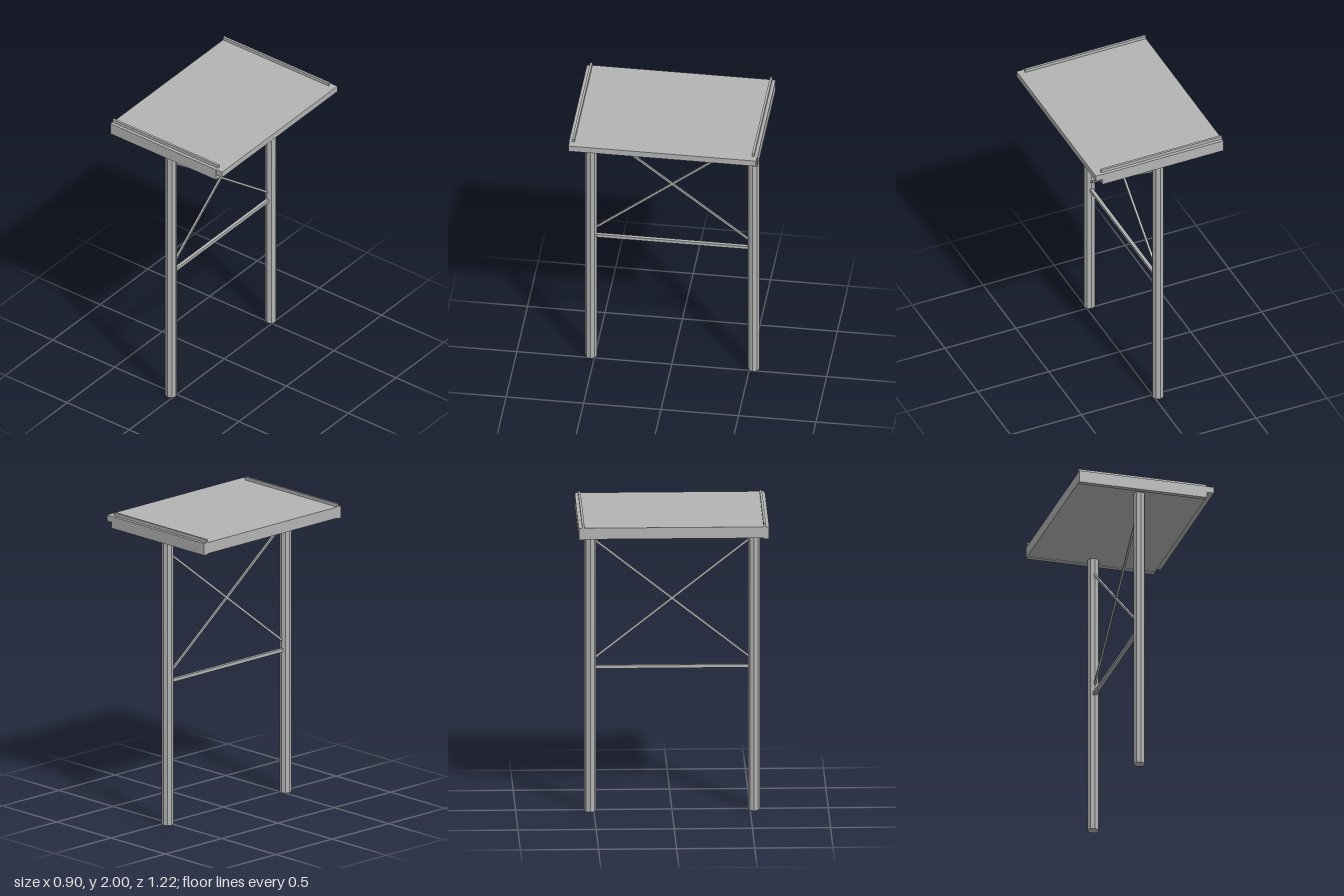
import * as THREE from 'three';

export function createModel() {
  const model = new THREE.Group();
  const steel = new THREE.MeshStandardMaterial({ color: 0xb4b4b4 });
  steel.name = 'greySteel';

  const add = (name, geometry) => {
    const mesh = new THREE.Mesh(geometry, steel);
    mesh.name = name;
    model.add(mesh);
    return mesh;
  };
  // Box given by its lower and upper limits on each axis
  const block = (name, [x0, x1], [y0, y1], [z0, z1]) => {
    const mesh = add(name, new THREE.BoxGeometry(x1 - x0, y1 - y0, z1 - z0));
    mesh.position.set((x0 + x1) / 2, (y0 + y1) / 2, (z0 + z1) / 2);
    return mesh;
  };

  // Platform with a thinner lip along one long edge
  block('deck', [-0.45, 0.4], [1.905, 1.979], [-0.575, 0.575]);
  block('deckLip', [0.4, 0.447], [1.938, 1.979], [-0.606, 0.606]);

  const postX = -0.027;
  const postZ = 0.524;
  for (const [side, s] of [['left', 1], ['right', -1]]) {
    const span = (a, b) => (s > 0 ? [a, b] : [-b, -a]);
    // Side beam hanging slightly below the deck, and the low curb on top
    block(side + 'SideBeam', [-0.45, 0.4], [1.9, 1.979], span(0.575, 0.609));
    block(side + 'Curb', [-0.45, 0.4], [1.979, 2], span(0.573, 0.588));

    // Eight-sided post
    const post = new THREE.CylinderGeometry(0.038, 0.038, 1.905, 8).toNonIndexed();
    post.computeVertexNormals();
    add(side + 'Post', post).position.set(postX, 0.9525, s * postZ);

    // Diagonal brace between the posts
    const rise = 0.77;
    const run = 0.98;
    const brace = add(side + 'Brace', new THREE.BoxGeometry(0.013, 0.013, Math.hypot(rise, run)));
    brace.position.set(postX, 1.403, 0);
    brace.rotation.x = s * Math.atan2(rise, run);
  }

  // Horizontal tie under the cross bracing
  block('crossBar', [postX - 0.011, postX + 0.011], [0.942, 0.963], [-0.495, 0.495]);

  return model;
}
